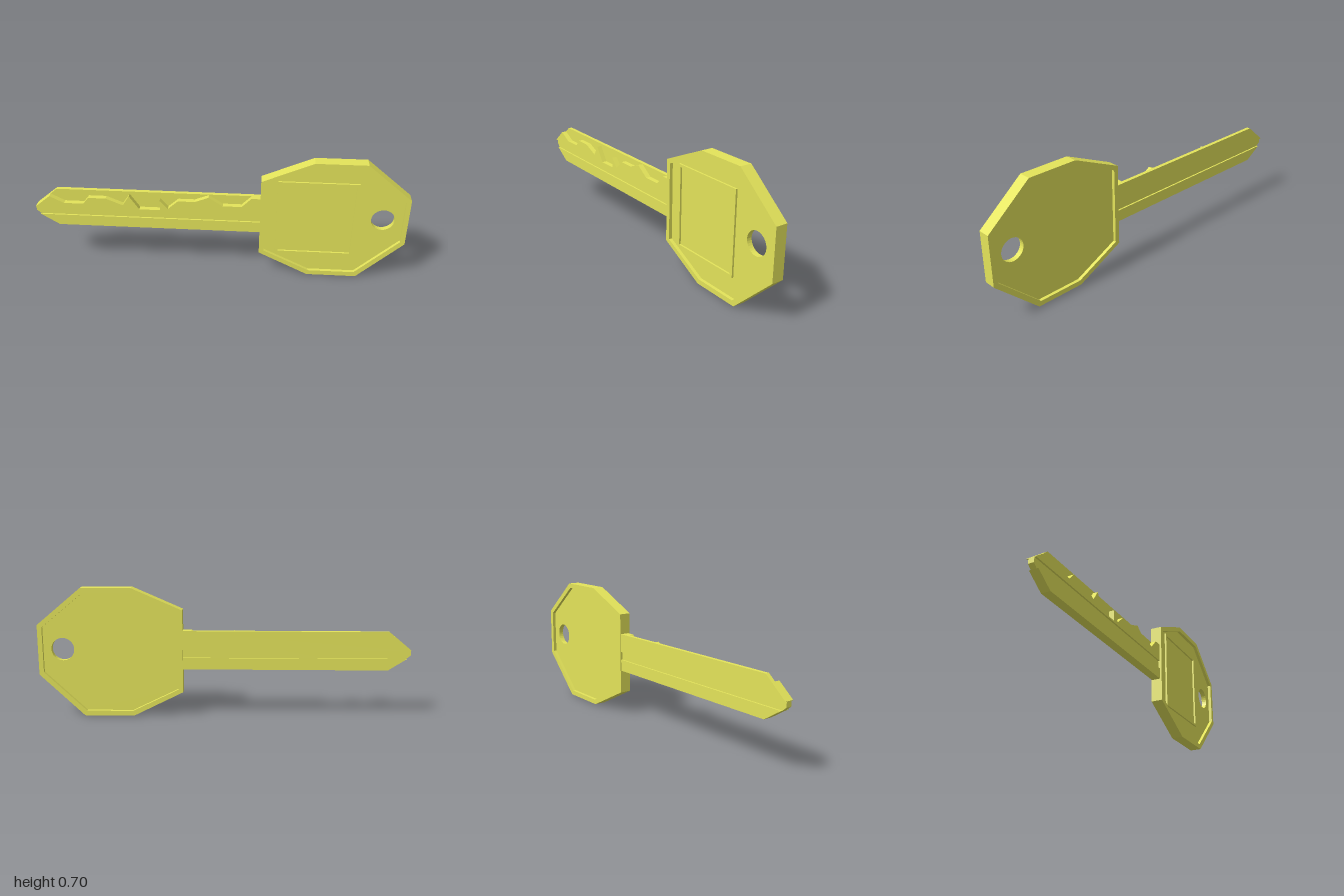
import * as THREE from 'three';

const material = new THREE.MeshStandardMaterial({ color: 0xe3e35a, flatShading: true });

const points = (list) => list.map(([x, y]) => new THREE.Vector2(x, y));

// Flat plate with an outline, optional holes, between two z depths
function plate(name, outline, z0, z1, holes = []) {
  const shape = new THREE.Shape(points(outline));
  for (const hole of holes) shape.holes.push(hole);
  const geometry = new THREE.ExtrudeGeometry(shape, { depth: z1 - z0, bevelEnabled: false, curveSegments: 16 });
  geometry.translate(0, 0, z0);
  const mesh = new THREE.Mesh(geometry, material);
  mesh.name = name;
  return mesh;
}

const rect = (x0, y0, x1, y1) => [[x0, y0], [x1, y0], [x1, y1], [x0, y1]];

export function createModel() {
  const model = new THREE.Group();
  model.name = 'key';

  // Head: octagonal rim around a thinner web with a ring hole
  const head = new THREE.Group();
  head.name = 'head';
  const outer = [[0.22, 0.135], [0.49, 0], [0.76, 0], [1, 0.23], [1, 0.503], [0.76, 0.703], [0.49, 0.703], [0.22, 0.585]];
  const inner = [[0.245, 0.15], [0.497, 0.027], [0.748, 0.027], [0.975, 0.243], [0.975, 0.49], [0.748, 0.677], [0.497, 0.677], [0.245, 0.568]];
  const ringHole = new THREE.Path().absarc(0.87, 0.368, 0.062, 0, Math.PI * 2, true);
  head.add(plate('headRim', outer, -0.032, 0.032, [new THREE.Path(points(inner))]));
  head.add(plate('headWeb', inner, -0.014, 0.014, [ringHole]));

  // Raised square border on the front of the web
  const border = new THREE.Path(points(rect(0.322, 0.148, 0.715, 0.57)));
  head.add(plate('squareBorder', rect(0.308, 0.135, 0.73, 0.584), 0.014, 0.024, [border]));
  model.add(head);

  // Blade: plain back half, toothed front half, a long groove on each side
  const blade = new THREE.Group();
  blade.name = 'blade';
  const end = 0.222, top = 0.473, bottom = 0.263;
  const grooveTop = 0.371, grooveBottom = 0.326;
  const lowerTip = [[-0.978, grooveBottom], [-0.88, bottom], [end, bottom]];
  const upperTip = [[-0.88, top], [-1, 0.373]];
  const teeth = [
    [end, top], [0.172, top], [0.12, 0.42], [0.02, 0.42], [-0.055, 0.47], [-0.13, 0.44], [-0.22, 0.44],
    [-0.275, 0.39], [-0.318, 0.438], [-0.318, 0.38], [-0.43, 0.38], [-0.483, 0.46], [-0.52, 0.402],
    [-0.61, 0.44], [-0.705, 0.44], [-0.735, 0.402], [-0.84, 0.402], [-0.917, 0.442],
  ];
  const lowerStrip = [...lowerTip, [end, grooveBottom]];
  const upperEdge = [[-1, grooveTop], [end, grooveTop]];
  const tip = [-1, 0.373];

  blade.add(plate('backCore', [[-1, 0.345], ...lowerTip, [end, top], ...upperTip], -0.019, -0.007));
  blade.add(plate('toothedCore', [[-1, 0.345], ...lowerTip, ...teeth, tip], -0.007, 0.012));
  blade.add(plate('backUpperStrip', [...upperEdge, [end, top], ...upperTip], -0.028, -0.019));
  blade.add(plate('backLowerStrip', lowerStrip, -0.028, -0.019));
  blade.add(plate('frontToothedStrip', [...upperEdge, ...teeth, tip], 0.012, 0.021));
  blade.add(plate('frontLowerStrip', lowerStrip, 0.012, 0.021));
  model.add(blade);

  return model;
}
